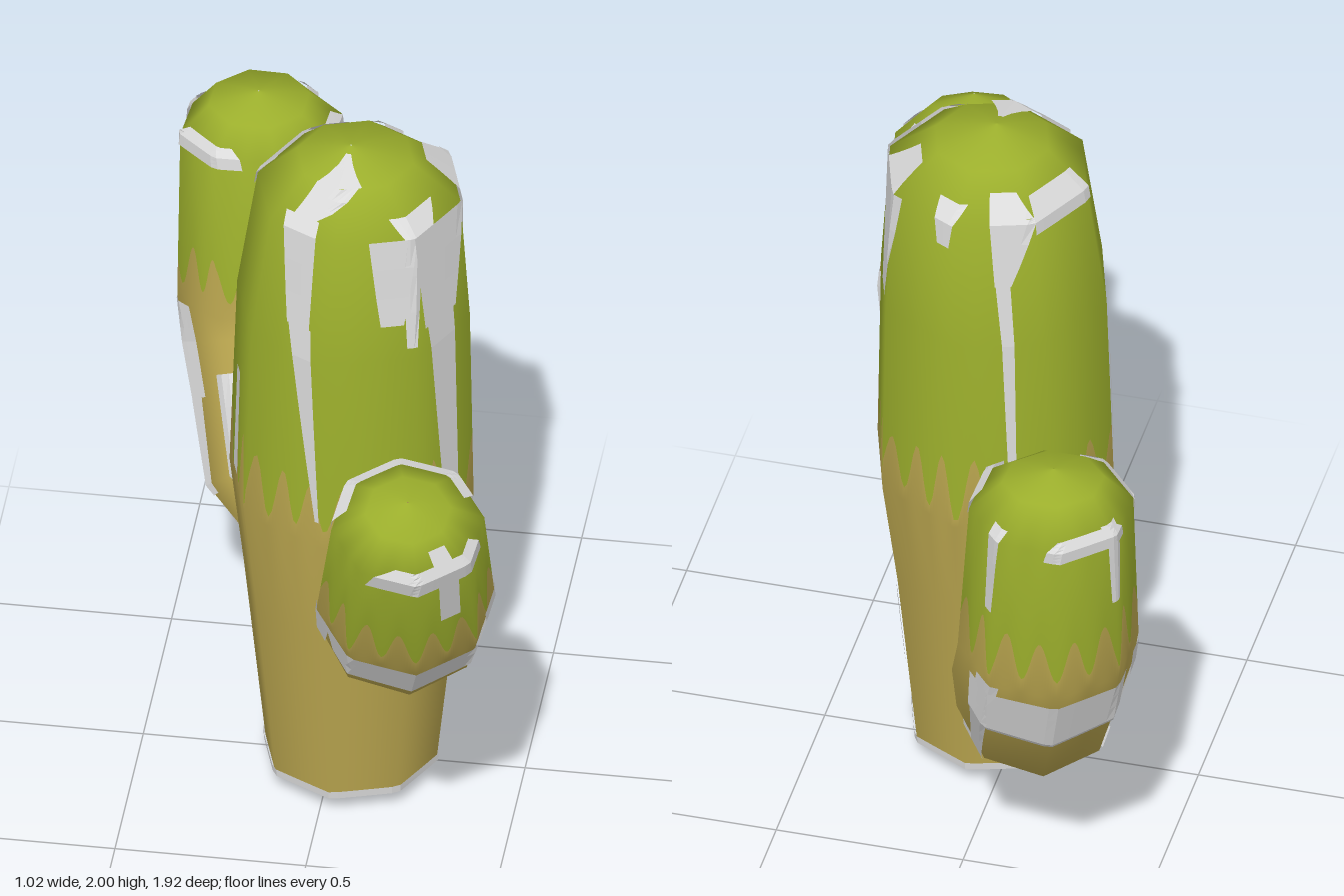
import * as THREE from 'three';

const RAD = Math.PI / 180;
const COLS = 192;
const lerp = THREE.MathUtils.lerp;

const mat = (name, color) => {
  const m = new THREE.MeshStandardMaterial({ color });
  m.name = name;
  return m;
};

// Radius factor that turns a circle into an octagon with a corner at a0
function octagon(a, a0) {
  const d = ((((a - a0) % 45) + 45) % 45) - 22.5;
  return Math.cos(22.5 * RAD) / Math.cos(d * RAD);
}

// A limb is a loft through rings [x, y, z, radius], built in a frame facing its heading.
// Its surface is addressed by angle (degrees) and t (ring index).
function makeLimb(rings, headX, headZ, a0, upright) {
  const side = new THREE.Vector3(headZ, 0, -headX).normalize();
  const last = rings.length - 1;
  const frames = rings.map(([x, y, z, r], i) => {
    const p = rings[Math.max(i - 1, 0)], q = rings[Math.min(i + 1, last)];
    const T = upright ? new THREE.Vector3(0, 1, 0)
      : new THREE.Vector3(q[0] - p[0], q[1] - p[1], q[2] - p[2]);
    T.addScaledVector(side, -T.dot(side)).normalize();
    return { c: new THREE.Vector3(x, y, z), r, T, N: side.clone().cross(T) };
  });
  const onRing = (f, a, k, lift, top) => f.c.clone()
    .addScaledVector(side, (f.r * k * (upright ? 1 : 1.07) + lift) * Math.cos(a * RAD))
    .addScaledVector(f.N, (f.r * k + lift) * Math.sin(a * RAD))
    .addScaledVector(f.T, top);
  const point = (a, t, lift = 0, round = false) => {
    const i = Math.min(Math.floor(t), last - 1);
    const k = round ? 1 : octagon(a, a0);
    const top = t > last - 2.3 ? lift : 0;
    return onRing(frames[i], a, k, lift, top).lerp(onRing(frames[i + 1], a, k, lift, top), t - i);
  };
  return { point, a0, last };
}

// Limb skin: wavy border between lower and upper colour, round normals on octagonal sides
function makeSkin(limb, border, wave, teeth, materials) {
  const split = Math.floor(border) + 1;
  const round = [], flat = [], index = [];
  for (let row = 0; row <= limb.last + 1; row++) {
    for (let c = 0; c < COLS; c++) {
      const a = limb.a0 + c * 360 / COLS;
      const w = Math.sin(teeth * a * RAD) * (0.83 + 0.17 * Math.sin(3 * a * RAD));
      const t = row < split ? row : row === split ? border + wave * w : row - 1;
      round.push(...limb.point(a, t, 0, true).toArray());
      flat.push(...limb.point(a, t).toArray());
    }
  }
  for (let row = 0; row <= limb.last; row++) {
    for (let c = 0; c < COLS; c++) {
      const p = row * COLS + c, q = row * COLS + (c + 1) % COLS;
      index.push(p, p + COLS, q, q, p + COLS, q + COLS);
    }
  }
  const g = new THREE.BufferGeometry();
  g.setAttribute('position', new THREE.Float32BufferAttribute(round, 3));
  g.setIndex(index);
  g.computeVertexNormals();
  g.setAttribute('position', new THREE.Float32BufferAttribute(flat, 3));
  const lower = split * COLS * 6;
  g.addGroup(0, lower, 0);
  g.addGroup(lower, index.length - lower, 1);
  return new THREE.Mesh(g, materials);
}

// Bare patch hugging a limb from t0 to t1, with an angle and a width at each end
function makePatch(limb, material, t0, angle0, width0, t1, angle1, width1) {
  const n = Math.max(2, Math.ceil(Math.max(width0, width1) / 6));
  const levels = [t0];
  for (let k = Math.floor(t0) + 1; k < t1; k++) levels.push(k);
  levels.push(t1);
  const at = (t, c) => {
    const s = (t - t0) / (t1 - t0);
    return limb.point(lerp(angle0, angle1, s) + lerp(width0, width1, s) * (c / n - 0.5), t, 0.006);
  };
  const pos = [];
  const STEPS = 3;
  for (let i = 0; i < levels.length - 1; i++)
    for (let s = 0; s < STEPS; s++)
      for (let c = 0; c < n; c++) {
        const low = lerp(levels[i], levels[i + 1], s / STEPS);
        const high = lerp(levels[i], levels[i + 1], (s + 1) / STEPS);
        const p = at(low, c), q = at(low, c + 1), u = at(high, c), v = at(high, c + 1);
        for (const k of [p, u, q, q, u, v]) pos.push(k.x, k.y, k.z);
      }
  const g = new THREE.BufferGeometry();
  g.setAttribute('position', new THREE.Float32BufferAttribute(pos, 3));
  g.computeVertexNormals();
  return new THREE.Mesh(g, material);
}

export function createModel() {
  const model = new THREE.Group();
  model.name = 'cactus';
  const tan = mat('tan', 0xb8a44e), green = mat('green', 0x9bae2c);
  const grey = mat('pale grey', 0xdadada);
  grey.side = THREE.DoubleSide;

  // Adds a limb and returns a function that lays bare patches on it
  const addLimb = (name, limb, border, wave, teeth) => {
    const group = new THREE.Group();
    group.name = name;
    const body = makeSkin(limb, border, wave, teeth, [tan, green]);
    body.name = name + 'Skin';
    group.add(body);
    model.add(group);
    return (...spec) => {
      const p = makePatch(limb, grey, ...spec);
      p.name = name + 'BarePatch';
      group.add(p);
    };
  };

  // Trunk
  const trunk = makeLimb([
    [0.05, 0, 0.04, 0.002], [0.05, 0.05, 0.04, 0.228], [0.05, 0.05, 0.04, 0.228],
    [0.05, 0.6, 0.04, 0.285], [0.05, 0.92, 0.03, 0.325], [0.055, 1.5, 0.03, 0.31],
    [0.07, 1.86, 0.03, 0.27], [0.06, 1.96, 0.03, 0.155], [0.05, 2, 0.04, 0.002],
  ], 0, 1, 5, true);
  const bareTrunk = addLimb('trunk', trunk, 4.2, 0.17, 22);
  bareTrunk(2, 180, 360, 2.04, 180, 360); // rim at the foot
  bareTrunk(4.14, 98, 2, 5.25, 112, 14); // front ridge
  bareTrunk(5.25, 113, 14, 6.3, 121, 26);
  bareTrunk(4.14, 24, 12, 5.2, 30, 22); // left ridge
  bareTrunk(5.2, 30, 26, 6, 27, 46);
  bareTrunk(5.1, 52, 5, 6, 50, 14);
  bareTrunk(5.3, 62, 12, 6, 62, 28);
  bareTrunk(5.1, -30, 14, 6, -21, 52);
  bareTrunk(4.3, 247, 4, 5.5, 249, 8); // back ridge
  bareTrunk(5.5, 249, 9, 6.1, 240, 30);
  bareTrunk(4.1, 163, 10, 4.65, 165, 8); // right side
  bareTrunk(5.8, 282, 8, 6.4, 281, 22); // crown
  bareTrunk(5.9, 206, 46, 6.5, 206, 44);
  bareTrunk(6.1, 242, 26, 6.6, 246, 20);
  bareTrunk(6, 337, 36, 6.7, 335, 24);
  bareTrunk(6, 44, 22, 6.4, 40, 40);
  bareTrunk(6.3, 119, 18, 7, 100, 44);
  bareTrunk(7, 98, 46, 7.8, 95, 20);
  bareTrunk(2.45, -27, 10, 2.84, -25, 14); // low on the left

  // Front arm
  const frontArm = makeLimb([
    [0.1, 0.73, 0.13, 0.125], [0.2, 0.735, 0.4, 0.16], [0.26, 0.88, 0.56, 0.205],
    [0.28, 0.99, 0.625, 0.217], [0.31, 1.36, 0.79, 0.187], [0.315, 1.425, 0.82, 0.105],
    [0.315, 1.455, 0.825, 0.002],
  ], 0.28, 0.96, 0, false);
  const bareFront = addLimb('frontArm', frontArm, 3.24, 0.2, 15);
  bareFront(2.25, 90, 130, 2.98, 90, 155); // belt under the elbow
  bareFront(0.9, 3, 8, 3.1, 6, 38); // flanks
  bareFront(0.8, 176, 6, 3, 173, 24);
  bareFront(2.5, 215, 38, 3.1, 213, 24);
  bareFront(0.9, 70, 22, 1.3, 72, 12);
  bareFront(1.4, 268, 85, 2.1, 266, 102); // inner side
  bareFront(2.1, 240, 48, 2.8, 242, 40);
  bareFront(2.1, 308, 26, 3.1, 312, 22);
  bareFront(3.92, 258, 145, 4.4, 258, 130); // tip
  bareFront(3.88, 75, 110, 4.3, 68, 80);
  bareFront(3.5, 63, 16, 4.7, 64, 20);
  bareFront(3.7, 332, 8, 4.4, 332, 22);

  // Back arm
  const backArm = makeLimb([
    [-0.01, 0.46, -0.08, 0.12], [-0.11, 0.47, -0.33, 0.155], [-0.19, 0.53, -0.46, 0.198],
    [-0.26, 0.83, -0.68, 0.221], [-0.285, 0.95, -0.72, 0.22], [-0.305, 1.43, -0.765, 0.2],
    [-0.31, 1.51, -0.765, 0.125], [-0.31, 1.54, -0.76, 0.002],
  ], -0.35, -0.94, 0, false);
  const bareBack = addLimb('backArm', backArm, 4.23, 0.18, 15);
  bareBack(2.95, 94, 120, 3.8, 94, 130); // belt round the elbow
  bareBack(0.8, 162, 8, 2, 150, 30); // flanks
  bareBack(2, 145, 16, 4, 140, 22);
  bareBack(1.9, 224, 40, 2.7, 215, 34);
  bareBack(2.7, 222, 14, 3.9, 231, 18);
  bareBack(3.9, 232, 18, 5, 232, 14);
  bareBack(1.8, -2, 10, 2.6, -4, 18);
  bareBack(2.6, -4, 28, 3.9, 0, 30);
  bareBack(1, 29, 10, 2.2, 34, 18);
  bareBack(1.8, 305, 42, 2.75, 300, 48);
  bareBack(4.5, 142, 8, 5.3, 140, 16); // tip
  bareBack(4.55, 45, 8, 5.3, 45, 16);
  bareBack(4.93, 330, 70, 5.3, 330, 50);
  bareBack(4.93, 208, 50, 5.35, 208, 35);
  bareBack(4.93, 66, 70, 5.25, 66, 50);

  return model;
}
